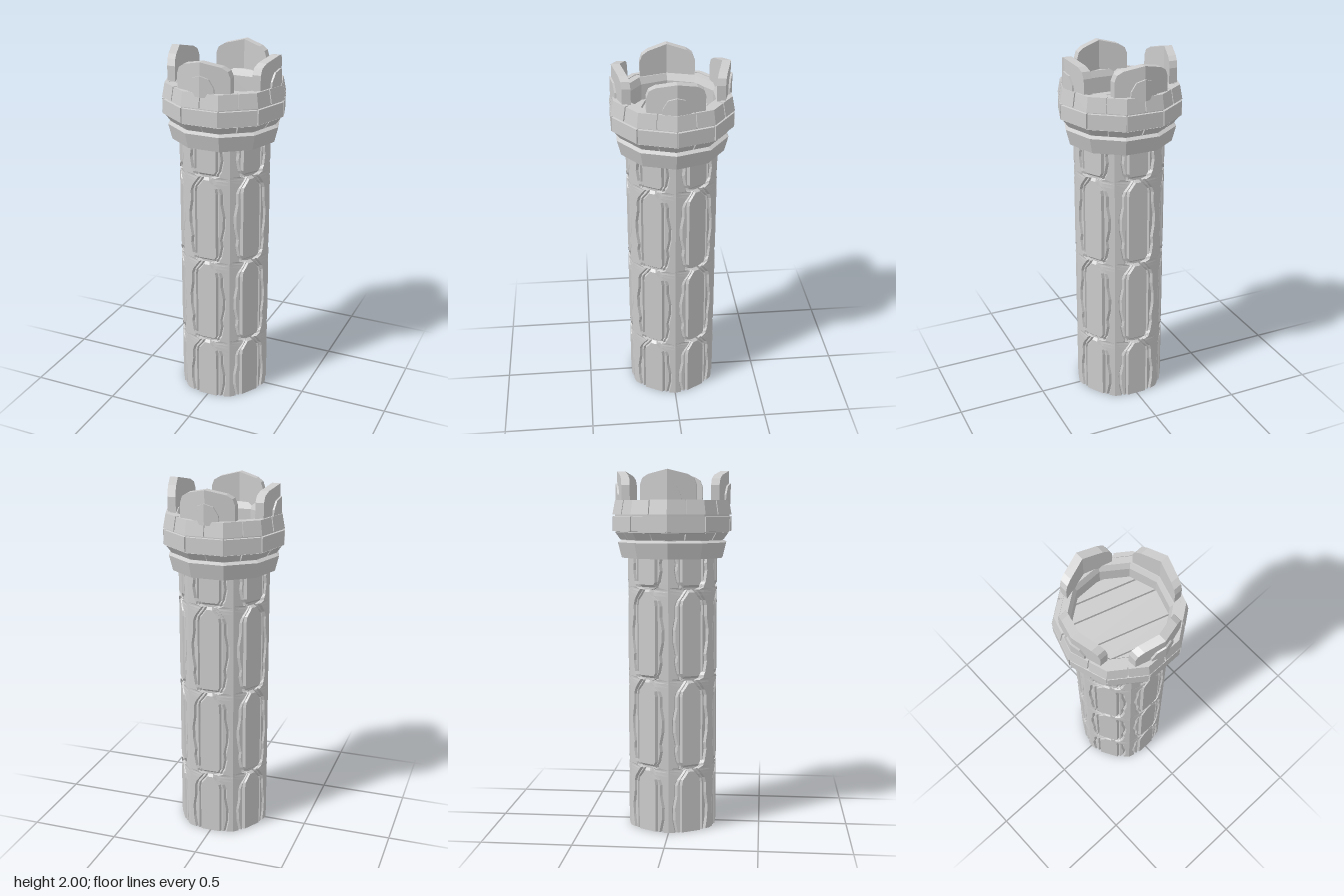
import * as THREE from 'three';

const stone = new THREE.MeshStandardMaterial({ color: 0xcccccc, flatShading: true });
const DEG = Math.PI / 180;

function addMesh(parent, name, geometry) {
  const mesh = new THREE.Mesh(geometry, stone);
  mesh.name = name;
  parent.add(mesh);
  return mesh;
}

function fromIndexed(positions, index) {
  const g = new THREE.BufferGeometry();
  g.setAttribute('position', new THREE.Float32BufferAttribute(positions, 3));
  g.setIndex(index);
  const flat = g.toNonIndexed();
  flat.computeVertexNormals();
  return flat;
}

// Shaft: six panelled faces between wavy-edged columns, lofted row by row.
// Each row: height in the tier, panel half width, frame half width, panel raised or not.
const TIER = [
  [0, 0.043, 0.06, 0], [0.014, 0.045, 0.068, 1], [0.03, 0.055, 0.078, 1],
  [0.09, 0.055, 0.09, 1], [0.13, 0.055, 0.085, 1], [0.2, 0.055, 0.098, 1],
  [0.27, 0.055, 0.1, 1], [0.34, 0.055, 0.088, 1], [0.4, 0.055, 0.088, 1],
  [0.43, 0.05, 0.078, 1], [0.455, 0.03, 0.06, 1], [0.475, 0.016, 0.045, 1],
  [0.488, 0.01, 0.036, 0],
];

function faceProfile(a, frame, raised) {
  const s = Math.max(frame, a + 0.024);
  const surface = u => 0.246 - 0.021 * Math.max(0, (u - 0.06) / 0.07);
  const groove = 0.016;
  const panel = surface(0) - (raised ? 0 : groove);
  const half = [
    [a, panel], [a + 0.008, surface(a) - groove], [a + 0.016, surface(a + 0.016) - 0.004],
    [s - 0.008, surface(s - 0.008) - 0.004], [s, surface(s) - groove],
    [s + 0.01, surface(s + 0.01)], [0.13, 0.225],
  ];
  const left = half.slice(0, -1).reverse().map(([u, d]) => [-u, d]);
  return [...left, [0, panel], ...half];
}

function shaftGeometry() {
  const positions = [], index = [];
  let rows = 0, cols = 0;
  for (let tier = 0; tier < 4; tier++) {
    for (const [t, a, s, raised] of TIER) {
      const y = -0.13 + 0.5 * tier + t;
      if (y < -1e-6 || y > 1.65) continue;
      const profile = faceProfile(a, s, raised);
      cols = profile.length * 6;
      for (let k = 0; k < 6; k++) {
        const c = Math.cos((30 + 60 * k) * DEG), n = Math.sin((30 + 60 * k) * DEG);
        for (const [u, d] of profile) positions.push(d * c - u * n, Math.max(0, y), d * n + u * c);
      }
      rows++;
    }
  }
  for (let r = 0; r < rows - 1; r++) {
    for (let i = 0; i < cols; i++) {
      const j = (i + 1) % cols, A = r * cols + i, D = r * cols + j;
      index.push(A, A + cols, D + cols, A, D + cols, D);
    }
  }
  // bottom cap
  const center = positions.length / 3;
  positions.push(0, 0, 0);
  for (let i = 0; i < cols; i++) index.push(center, i, (i + 1) % cols);
  return fromIndexed(positions, index);
}

// Brick that follows the ten-sided ring; profile is four [corner radius, y] points
function brickGeometry(angles, profile) {
  const positions = [], index = [];
  for (const deg of angles) {
    const within = ((deg % 36) + 36) % 36 - 18;
    const k = Math.cos(18 * DEG) / Math.cos(within * DEG);
    for (const [r, y] of profile) {
      positions.push(r * k * Math.cos(deg * DEG), y, r * k * Math.sin(deg * DEG));
    }
  }
  for (let i = 0; i < angles.length - 1; i++) {
    for (let j = 0; j < 4; j++) {
      const A = i * 4 + j, B = i * 4 + (j + 1) % 4;
      index.push(A, B, B + 4, A, B + 4, A + 4);
    }
  }
  const e = (angles.length - 1) * 4;
  index.push(0, 2, 1, 0, 3, 2, e, e + 1, e + 2, e, e + 2, e + 3);
  return fromIndexed(positions, index);
}

function brickRow(parent, name, profile, midJoints) {
  const row = new THREE.Group();
  row.name = name;
  const gap = 0.7;
  for (let k = 0; k < 10; k++) {
    const start = 36 * k + (midJoints ? 18 : 0);
    const angles = [start + gap, start + 36 - gap];
    if (midJoints) angles.splice(1, 0, start + 18);
    addMesh(row, 'brick', brickGeometry(angles, profile));
  }
  parent.add(row);
}

// Half of a symmetric slab, folded back along the centre line
function foldedHalf(outline, side, back, front) {
  const shape = new THREE.Shape(outline.map(([x, y]) => new THREE.Vector2(x * side, y)));
  const g = new THREE.ExtrudeGeometry(shape, { depth: front - back, bevelEnabled: false });
  const p = g.attributes.position;
  for (let i = 0; i < p.count; i++) p.setZ(i, p.getZ(i) + back - 0.3 * Math.abs(p.getX(i)));
  g.computeVertexNormals();
  return g;
}

function merlon() {
  const group = new THREE.Group();
  group.name = 'merlon';
  const slab = [[0, 1.82], [0.15, 1.82], [0.15, 1.92], [0.137, 1.955], [0.105, 1.975], [0, 2]];
  const arch = [[0, 1.82], [0.075, 1.82], [0.07, 1.87], [0.045, 1.915], [0, 1.932]];
  for (const side of [1, -1]) {
    addMesh(group, 'merlonSlab', foldedHalf(slab, side, 0.266, 0.312));
    addMesh(group, 'merlonArch', foldedHalf(arch, side, 0.3, 0.322));
  }
  return group;
}

export function createModel() {
  const tower = new THREE.Group();
  tower.name = 'tower';

  addMesh(tower, 'shaft', shaftGeometry());

  // Ten-sided collar with the parapet wall and floor base
  const collar = [
    [0.2, 1.525], [0.29, 1.525], [0.312, 1.61], [0.29, 1.622], [0.29, 1.655],
    [0.325, 1.665], [0.328, 1.765], [0.315, 1.836], [0.262, 1.836], [0.246, 1.8],
    [0.246, 1.69], [0, 1.69],
  ].map(([r, y]) => new THREE.Vector2(r, y));
  addMesh(tower, 'collar', new THREE.LatheGeometry(collar, 10, Math.PI / 2).toNonIndexed());

  brickRow(tower, 'corbelBricks', [[0.27, 1.625], [0.297, 1.625], [0.326, 1.664], [0.27, 1.664]], true);
  brickRow(tower, 'middleBricks', [[0.3, 1.668], [0.341, 1.672], [0.341, 1.752], [0.3, 1.757]], false);
  brickRow(tower, 'topBricks', [[0.3, 1.762], [0.341, 1.762], [0.326, 1.84], [0.3, 1.84]], true);

  // Floor planks, laid at a slant
  const floor = new THREE.Group();
  floor.name = 'floor';
  const edges = [-0.245, -0.17, -0.076, 0.076, 0.173, 0.245];
  for (let i = 0; i < edges.length - 1; i++) {
    const mid = (edges[i] + edges[i + 1]) / 2;
    const length = 2 * Math.sqrt(0.28 ** 2 - mid ** 2);
    const plank = new THREE.BoxGeometry(length, 0.03, edges[i + 1] - edges[i] - 0.01);
    addMesh(floor, 'plank', plank).position.set(0, 1.695, mid);
  }
  floor.rotation.y = -18 * DEG;
  tower.add(floor);

  // Four merlons
  for (let k = 0; k < 4; k++) {
    const m = merlon();
    m.rotation.y = k * Math.PI / 2;
    tower.add(m);
  }
  return tower;
}
